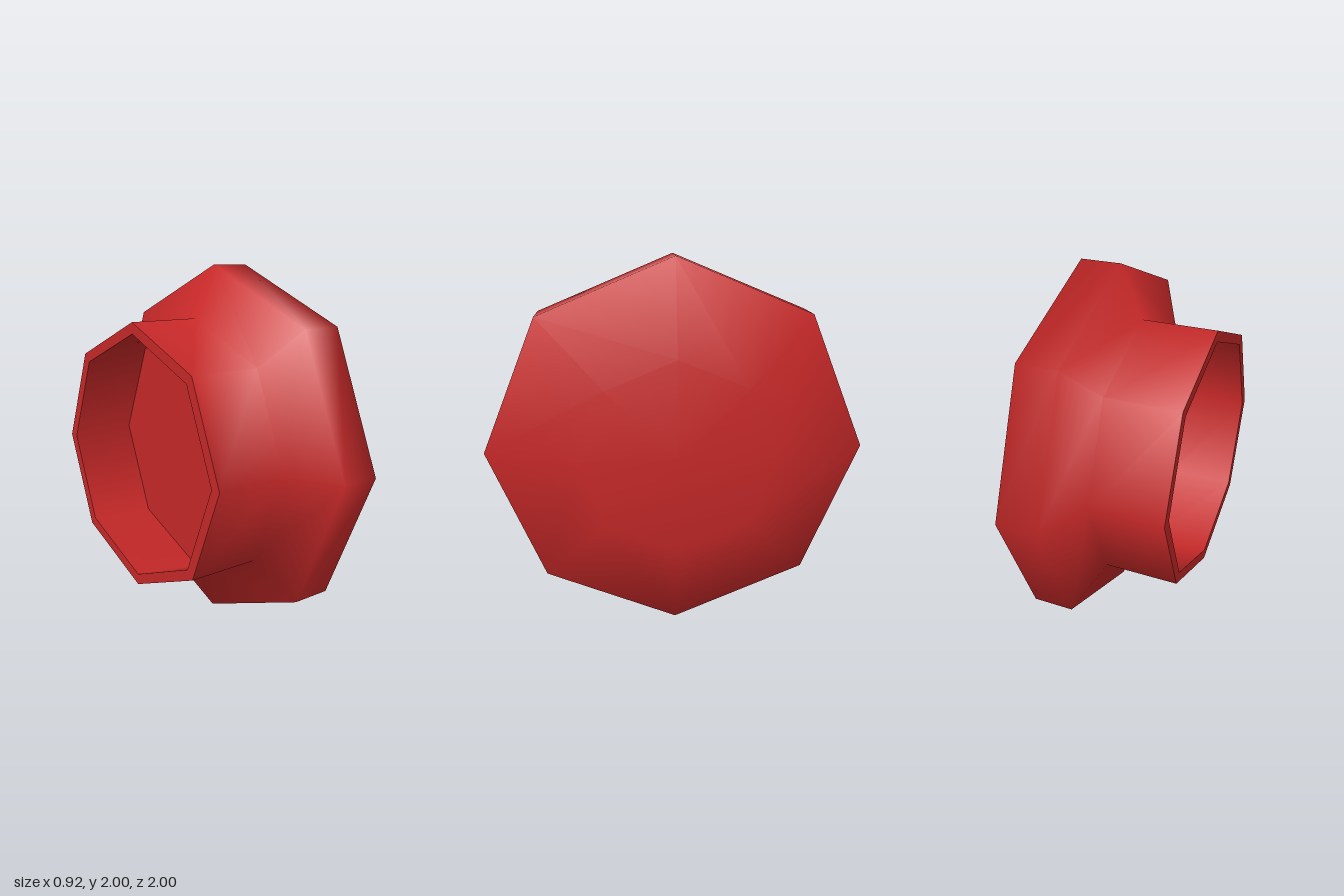
import * as THREE from 'three';

export function createModel() {
  const model = new THREE.Group();
  model.name = 'octagonalKnob';

  const red = new THREE.MeshStandardMaterial({ color: 0xc62828 });
  red.name = 'red';

  // Turns an [x, radius] profile into an eight-sided ring around the x axis
  function turned(name, profile) {
    const points = profile.map(([x, r]) => new THREE.Vector2(r, x));
    const geometry = new THREE.LatheGeometry(points, 8);
    geometry.rotateZ(-Math.PI / 2);
    const mesh = new THREE.Mesh(geometry, red);
    mesh.name = name;
    mesh.position.y = 1;
    model.add(mesh);
  }

  // Smooth outer skin: neck, flared flange, bevel and flat cap
  turned('outerShell', [
    [-0.46, 0.72], [-0.06, 0.72], [0.065, 1], [0.285, 1], [0.455, 0.515], [0.455, 0],
  ]);

  // Hollow neck: end rim, slightly widening bore and its floor
  turned('neckRim', [[-0.46, 0.66], [-0.46, 0.72]]);
  turned('boreWall', [[-0.06, 0.715], [-0.46, 0.66]]);
  turned('boreFloor', [[-0.06, 0], [-0.06, 0.715]]);

  return model;
}
